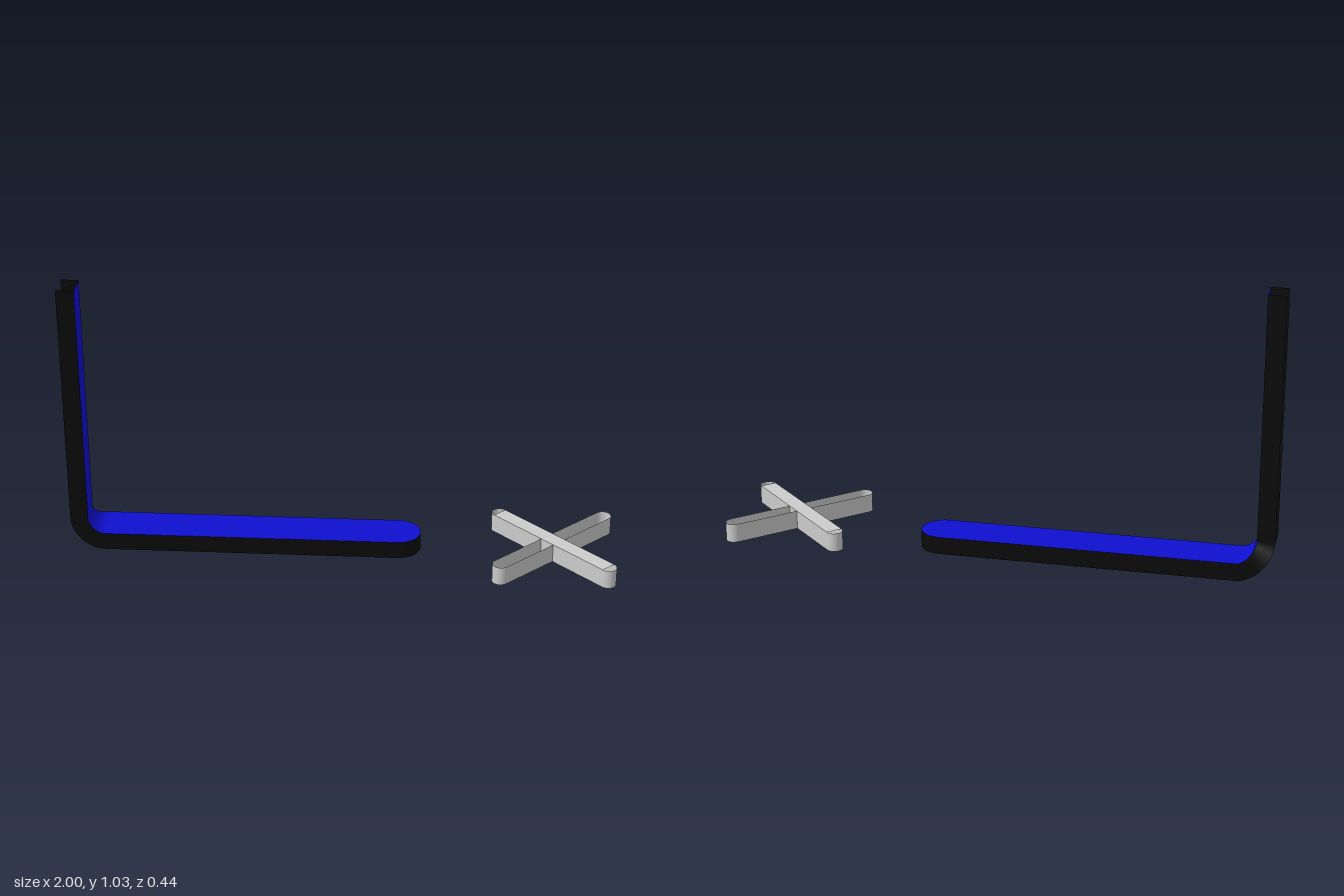
import * as THREE from 'three';

const mat = (color) => new THREE.MeshStandardMaterial({ color, side: THREE.DoubleSide });

// Surface spanned between two matching rows of points
function ribbon(a, b) {
  const pos = [], index = [];
  a.forEach((p, i) => {
    pos.push(...p, ...b[i]);
    if (i) {
      const k = 2 * i;
      index.push(k - 2, k - 1, k, k - 1, k + 1, k);
    }
  });
  const g = new THREE.BufferGeometry();
  g.setAttribute('position', new THREE.Float32BufferAttribute(pos, 3));
  g.setIndex(index);
  g.computeVertexNormals();
  return g;
}

function add(parent, name, geometry, material) {
  const m = new THREE.Mesh(geometry, material);
  m.name = name;
  parent.add(m);
  return m;
}

// Bent channel: stations run down the post, round the bend and along the bar
function bentChannel() {
  const depth = 0.065, r = 0.065, cx = -0.87, cy = 0.13;
  const zFront = 0.035, zPost = -0.067, zBar = -0.135;
  const stations = [];
  const station = (x, y, t, zf, zb) => stations.push({
    inner: [x, y],
    outer: [x - depth * Math.cos(t), y - depth * Math.sin(t)],
    zf, zb,
  });
  station(cx - r, 1.03, 0, zFront, zPost);
  const n = 16;
  for (let i = 0; i <= n; i++) {
    // the back edge widens in an S-curve through the bend
    const u = i / n, t = u * Math.PI / 2;
    const z = zPost + (zBar - zPost) * u * u * (3 - 2 * u);
    station(cx - r * Math.cos(t), cy - r * Math.sin(t), t, zFront, z);
  }
  // rounded free end
  const mid = (zFront + zBar) / 2, R = (zFront - zBar) / 2;
  for (let i = 0; i <= n; i++) {
    const a = i / n * Math.PI / 2, h = R * Math.cos(a);
    station(0.205 + R * Math.sin(a), depth, Math.PI / 2, mid + h, mid - h);
  }
  const row = (side, z) => stations.map((s) => [...s[side], s[z]]);
  const group = new THREE.Group();
  group.name = 'bentChannel';
  const blue = mat(0x0f0fd0), black = mat(0x0a0a0a);
  add(group, 'web', ribbon(row('inner', 'zb'), row('inner', 'zf')), blue);
  add(group, 'frontFlange', ribbon(row('inner', 'zf'), row('outer', 'zf')), black);
  add(group, 'backFlange', ribbon(row('outer', 'zb'), row('inner', 'zb')), black);
  return group;
}

// Round-ended tray, optionally with a flat lid between its rounded ends
function crossArm(name, angle, lid) {
  const half = 0.272, r = 0.03, y0 = 0.01, y1 = 0.08;
  const shape = new THREE.Shape();
  shape.moveTo(-half, -r);
  shape.lineTo(half, -r);
  shape.absarc(half, 0, r, -Math.PI / 2, Math.PI / 2);
  shape.lineTo(-half, r);
  shape.absarc(-half, 0, r, Math.PI / 2, Math.PI * 1.5);
  const outline = shape.getPoints(12);
  const grey = mat(0xcccccc);
  const arm = new THREE.Group();
  arm.name = name;
  const row = (y) => outline.map((p) => [p.x, y, p.y]);
  add(arm, 'wall', ribbon(row(y0), row(y1)), grey);
  add(arm, 'floor', new THREE.ShapeGeometry(shape, 12).rotateX(Math.PI / 2), grey).position.y = y0;
  if (lid) {
    add(arm, 'lid', new THREE.PlaneGeometry(2 * half, 2 * r).rotateX(-Math.PI / 2), grey).position.y = y1;
  }
  arm.rotation.y = angle;
  return arm;
}

export function createModel() {
  const model = new THREE.Group();
  model.name = 'channelAndCross';
  model.add(bentChannel());

  // Separate cross beside the free end
  const cross = new THREE.Group();
  cross.name = 'cross';
  cross.position.x = 0.775;
  cross.add(crossArm('coveredArm', -Math.PI / 4, true));
  cross.add(crossArm('openArm', Math.PI / 4, false));
  model.add(cross);
  return model;
}
